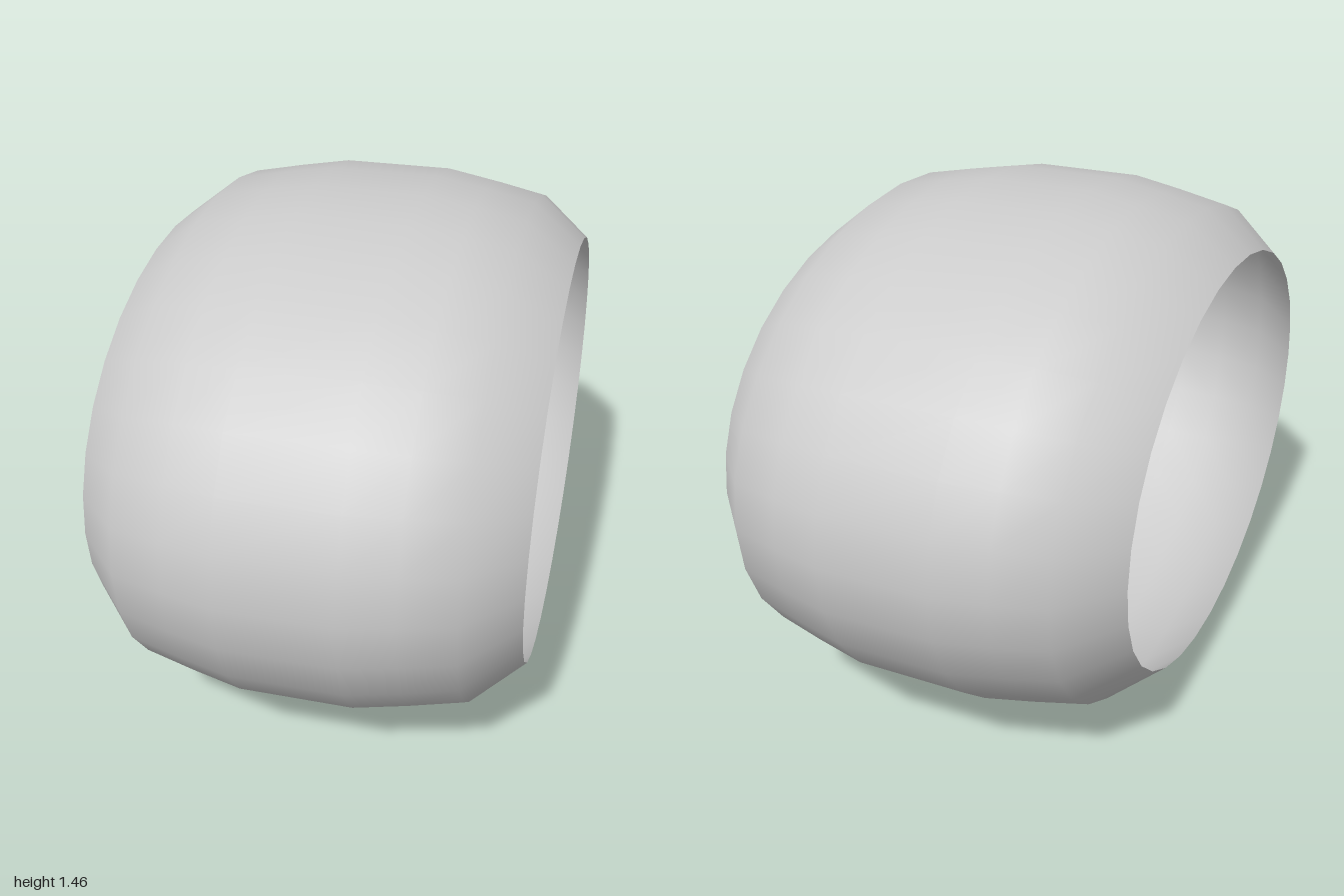
import * as THREE from 'three';

const ASPECT = 0.7275; // height of the oval relative to its depth
const SIDES = 32;

export function createModel() {
  const group = new THREE.Group();
  group.name = 'ovalRing';

  // Half profile as [radius, x], mirrored about the middle
  const half = [[1, 0.157], [0.967, 0.3], [0.929, 0.444], [0.777, 0.585]];
  const profile = [...half.map(([r, x]) => [r, -x]).reverse(), ...half];

  // Thin bulging band, revolved about the x axis, squashed to an oval, open at both ends
  const geometry = new THREE.LatheGeometry(profile.map(([r, x]) => new THREE.Vector2(r, x)), SIDES);
  geometry.rotateZ(-Math.PI / 2);
  geometry.scale(1, ASPECT, 1);
  geometry.translate(0, ASPECT, 0);

  const material = new THREE.MeshStandardMaterial({ color: 0xcccccc, side: THREE.DoubleSide });
  const band = new THREE.Mesh(geometry, material);
  band.name = 'band';
  group.add(band);

  return group;
}
